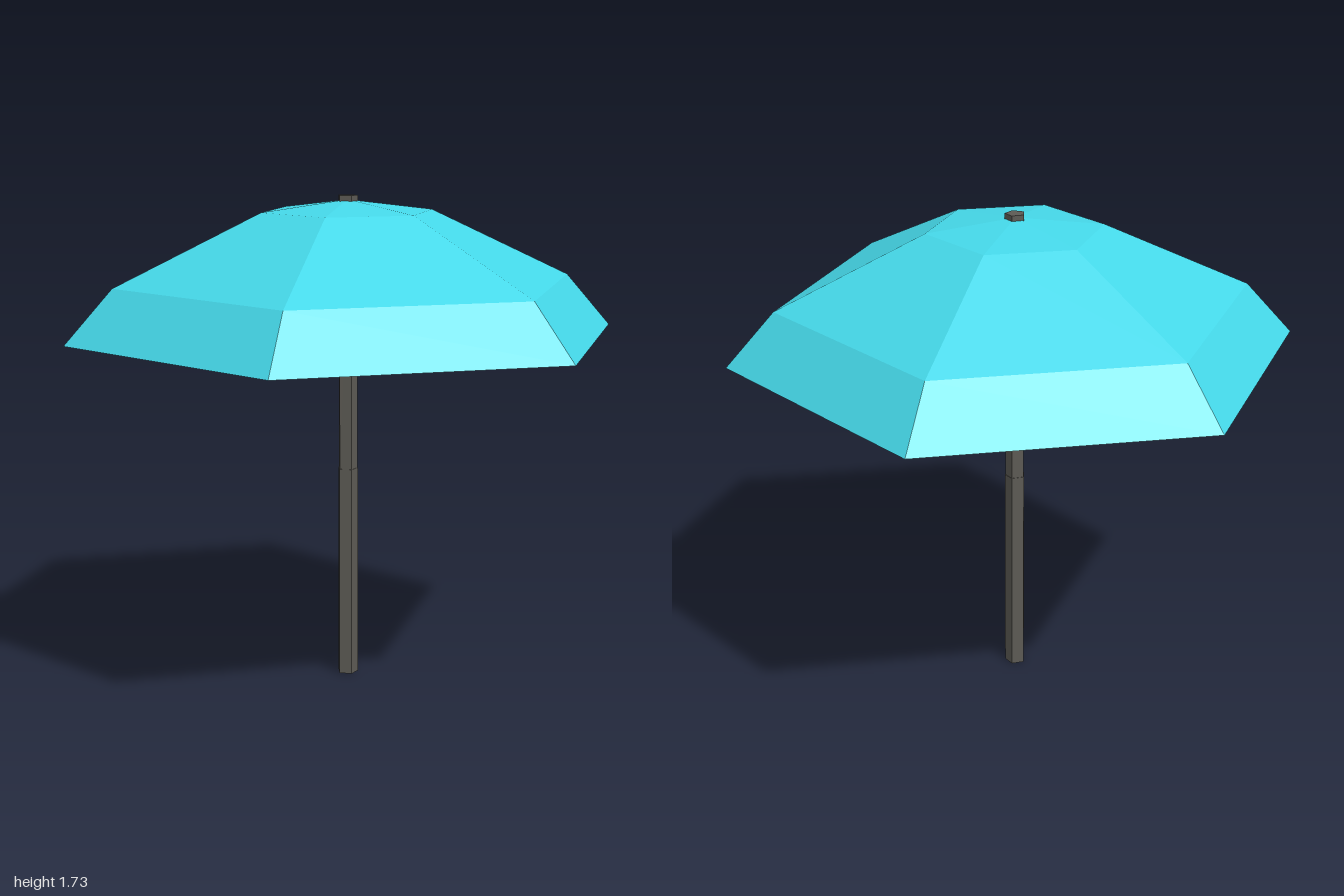
import * as THREE from 'three';

export function createModel() {
  const group = new THREE.Group();

  // Canopy: six-sided thin shell, corners on the z axis
  const profile = [[0, 1.715], [0.31, 1.675], [0.83, 1.43], [1, 1.24]]
    .reverse().map(([r, y]) => new THREE.Vector2(r, y));
  const canopy = new THREE.Mesh(
    new THREE.LatheGeometry(profile, 6),
    new THREE.MeshStandardMaterial({ color: 0x45d8e9, flatShading: true, side: THREE.DoubleSide })
  );
  canopy.name = 'canopy';
  group.add(canopy);

  // Pole: five-sided, slightly thicker lower section, one corner to the back
  const poleMaterial = new THREE.MeshStandardMaterial({ color: 0x5c5a54, flatShading: true });
  const addPole = (name, radius, bottom, top) => {
    const pole = new THREE.Mesh(
      new THREE.CylinderGeometry(radius, radius, top - bottom, 5), poleMaterial);
    pole.rotation.y = Math.PI;
    pole.position.y = (bottom + top) / 2;
    pole.name = name;
    group.add(pole);
  };
  addPole('lowerPole', 0.038, 0, 0.76);
  addPole('upperPole', 0.036, 0.76, 1.73);

  return group;
}
